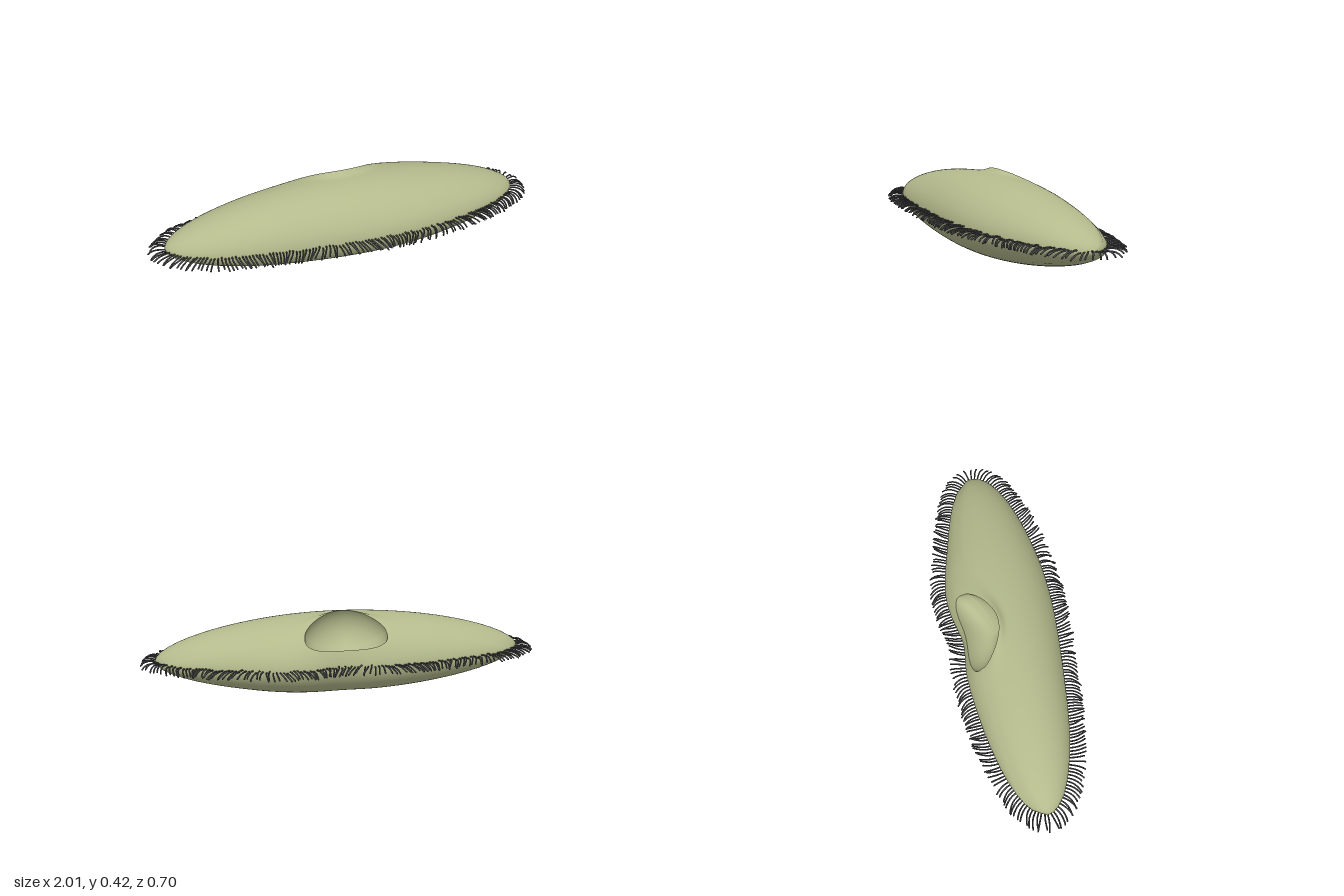
import * as THREE from 'three';
import { mergeGeometries } from 'three/addons/utils/BufferGeometryUtils.js';

const MID_Y = 0.19;   // height of the equator
const TILT = 0.68;    // how far the mouth leans from the top to the back
const COLS = 128;

const gauss = (x, w) => Math.exp(-((x / w) ** 2));

// Unit direction -> point on the slightly lopsided ellipsoid body
function bodyPoint(d) {
  const x = d.x * 0.93;
  const lean = Math.sign(d.y) * Math.abs(d.y) ** 1.1 * (1 - 0.12 * d.x * d.x);
  const y = MID_Y + lean * (d.y > 0 ? 0.213 : 0.188);
  const front = 0.262 + 0.016 * Math.sin(THREE.MathUtils.clamp(x * 4, -1.57, 1.57));
  const back = 0.25 + 0.03 * gauss(x - 0.3, 0.2) - 0.025 * gauss(x, 0.12);
  return new THREE.Vector3(x, y, d.z * (d.z > 0 ? front : back));
}

// Direction a given angle beyond the mouth rim; v runs from rim (0) to far pole (1)
const pole = new THREE.Vector3(0, Math.cos(TILT), -Math.sin(TILT));
const up = new THREE.Vector3(0, Math.sin(TILT), Math.cos(TILT));
function shellPoint(v, phi) {
  const c = Math.cos(phi);
  const p = 0.215 * Math.sin(phi) * (1 - 0.25 * c);
  const q = c > 0 ? 0.49 * c : -0.49 * Math.abs(c) ** 0.7;
  const rim = Math.hypot(p, q);
  const beyond = (Math.PI - rim) * v ** 1.8;
  const t = rim + beyond;
  const side = new THREE.Vector3(p / rim, 0, 0).addScaledVector(up, q / rim);
  const d = pole.clone().multiplyScalar(Math.cos(t)).addScaledVector(side, Math.sin(t));
  const point = bodyPoint(d);
  // raised hood over the mouth, thin lip around the rest
  point.y += gauss(beyond, 0.11) * (0.004 + 0.022 * Math.max(0, c) ** 1.5);
  return point;
}

// Closed rings of points joined into a smooth surface
function ringSurface(rows, pointAt) {
  const pos = [], index = [];
  for (let i = 0; i <= rows; i++) {
    for (let j = 0; j < COLS; j++) {
      pos.push(...pointAt(i / rows, (j / COLS) * Math.PI * 2).toArray());
      if (i === rows) continue;
      const a = i * COLS + j, b = i * COLS + ((j + 1) % COLS);
      index.push(a, a + COLS, b, b, a + COLS, b + COLS);
    }
  }
  const g = new THREE.BufferGeometry();
  g.setAttribute('position', new THREE.Float32BufferAttribute(pos, 3));
  g.setIndex(index);
  g.computeVertexNormals();
  return g;
}

// Bowl sinking from the mouth rim into the body
function cavityGeometry() {
  const centre = new THREE.Vector3(0, 0.335, -0.14);
  const inward = new THREE.Vector3(0, -0.1, 0.085);
  return ringSurface(16, (v, phi) => {
    const a = (1 - v) * Math.PI / 2;
    return centre.clone()
      .lerp(shellPoint(0, phi), Math.cos(a))
      .addScaledVector(inward, Math.sin(a));
  });
}

// Fringe of small bent hairs around the equator
function ciliaGeometry(count) {
  let seed = 7;
  const rand = () => (seed = (seed * 16807) % 2147483647) / 2147483647;
  const ring = [];
  for (let i = 0; i < 96; i++) {
    const a = (i / 96) * Math.PI * 2;
    ring.push(bodyPoint(new THREE.Vector3(Math.cos(a), 0, Math.sin(a))));
  }
  const outline = new THREE.CatmullRomCurve3(ring, true);
  const hairs = [];
  for (let i = 0; i < count; i++) {
    const u = i / count;
    const base = outline.getPointAt(u);
    const along = outline.getTangentAt(u);
    const out = new THREE.Vector3(along.z, 0, -along.x);
    const length = 0.066 + 0.014 * rand();
    const sway = 0.035 * Math.sin(u * Math.PI * 14) + 0.025 * (rand() - 0.5);
    const lift = 0.012 * (rand() - 0.5);
    const at = (o, s, y) => base.clone()
      .addScaledVector(out, o).addScaledVector(along, s).add(new THREE.Vector3(0, y, 0));
    const path = new THREE.CatmullRomCurve3([
      at(-0.012, 0, lift),
      at(length * 0.4, sway * 0.2, lift + 0.009),
      at(length * 0.8, sway * 0.65, lift + 0.003),
      at(length, sway, lift - 0.01),
    ]);
    hairs.push(new THREE.TubeGeometry(path, 6, 0.0042, 5, false));
    const tip = new THREE.SphereGeometry(0.0042, 5, 4);
    tip.translate(...path.getPoint(1).toArray());
    hairs.push(tip);
  }
  return mergeGeometries(hairs);
}

export function createModel() {
  const skin = new THREE.MeshStandardMaterial({ color: 0xb4ba8c });
  skin.name = 'paleOlive';
  const dark = new THREE.MeshStandardMaterial({ color: 0x505050 });
  dark.name = 'darkGrey';

  const model = new THREE.Group();
  model.name = 'singleCelledOrganism';
  const add = (name, geometry, material) => {
    const mesh = new THREE.Mesh(geometry, material);
    mesh.name = name;
    model.add(mesh);
  };
  add('body', ringSurface(90, shellPoint), skin);
  add('mouthCavity', cavityGeometry(), skin);
  add('cilia', ciliaGeometry(250), dark);
  return model;
}
